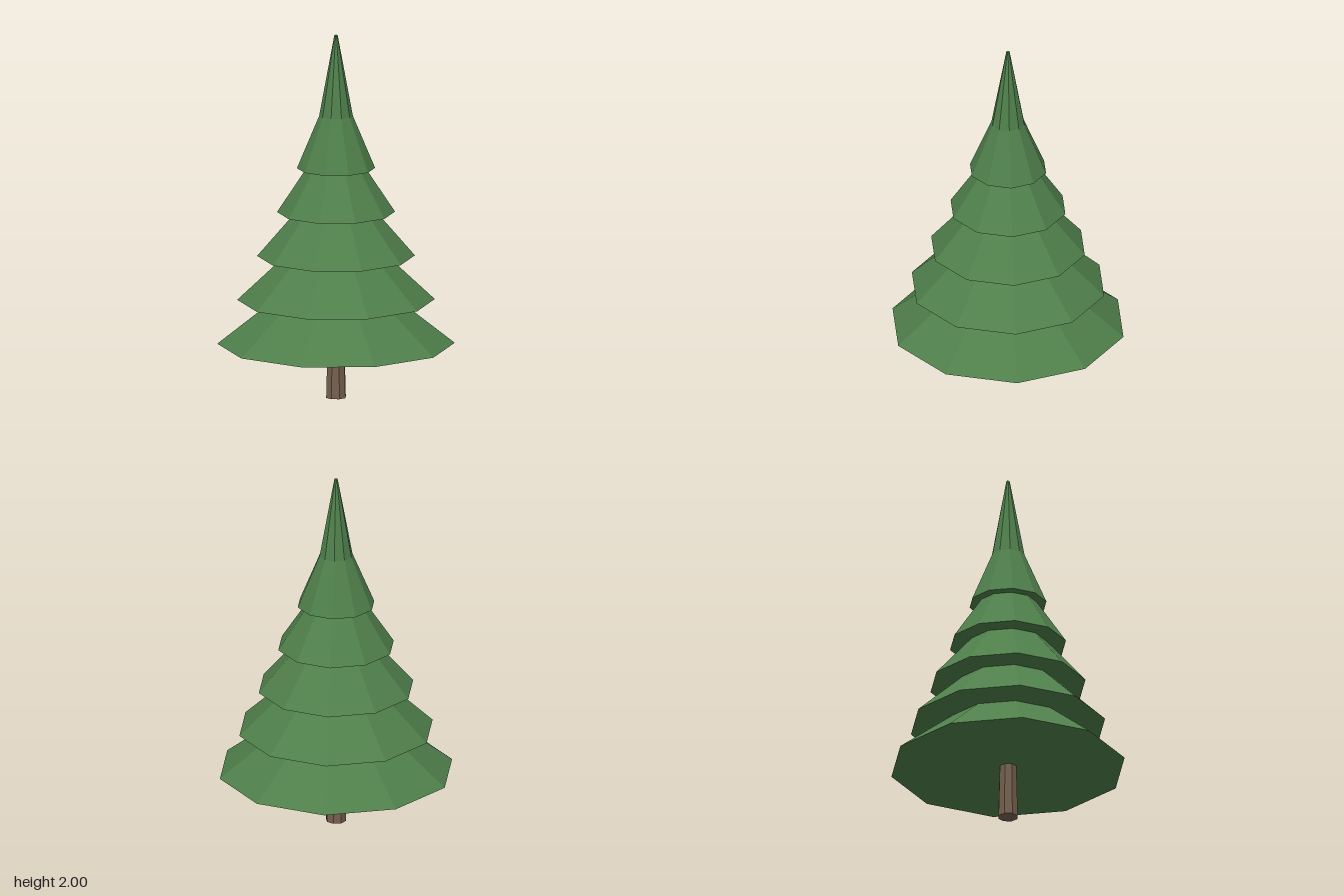
import * as THREE from 'three';

const needleGreen = new THREE.MeshStandardMaterial({ color: 0x4f7f4b });
needleGreen.name = 'needle green';
const barkBrown = new THREE.MeshStandardMaterial({ color: 0x75614f });
barkBrown.name = 'bark brown';

// Faceted solid of revolution; profile is [radius, y] from bottom to top
function facetedLathe(name, profile, sides, material) {
  const points = profile.map(([r, y]) => new THREE.Vector2(r, y));
  const geometry = new THREE.LatheGeometry(points, sides).toNonIndexed();
  geometry.computeVertexNormals();
  const mesh = new THREE.Mesh(geometry, material);
  mesh.name = name;
  return mesh;
}

export function createModel() {
  const tree = new THREE.Group();
  tree.name = 'pineTree';

  // Tapered trunk
  tree.add(facetedLathe('trunk', [[0, 0], [0.056, 0], [0.048, 0.3], [0, 0.3]], 8, barkBrown));

  // Stepped skirts of needles, each narrowing to meet the flat underside of the next
  const tierCount = 5;
  const profile = [[0, 0.298]];
  for (let i = 0; i < tierCount; i++) {
    const y = 0.298 + i * 0.242;
    profile.push([0.641 - i * 0.1075, y]);
    if (i < tierCount - 1) profile.push([0.333 - i * 0.058, y + 0.242]);
  }

  // Slender spire continuing from the top skirt
  profile.push([0.091, 1.554], [0.009, 2], [0, 2]);
  tree.add(facetedLathe('foliage', profile, 10, needleGreen));

  return tree;
}
